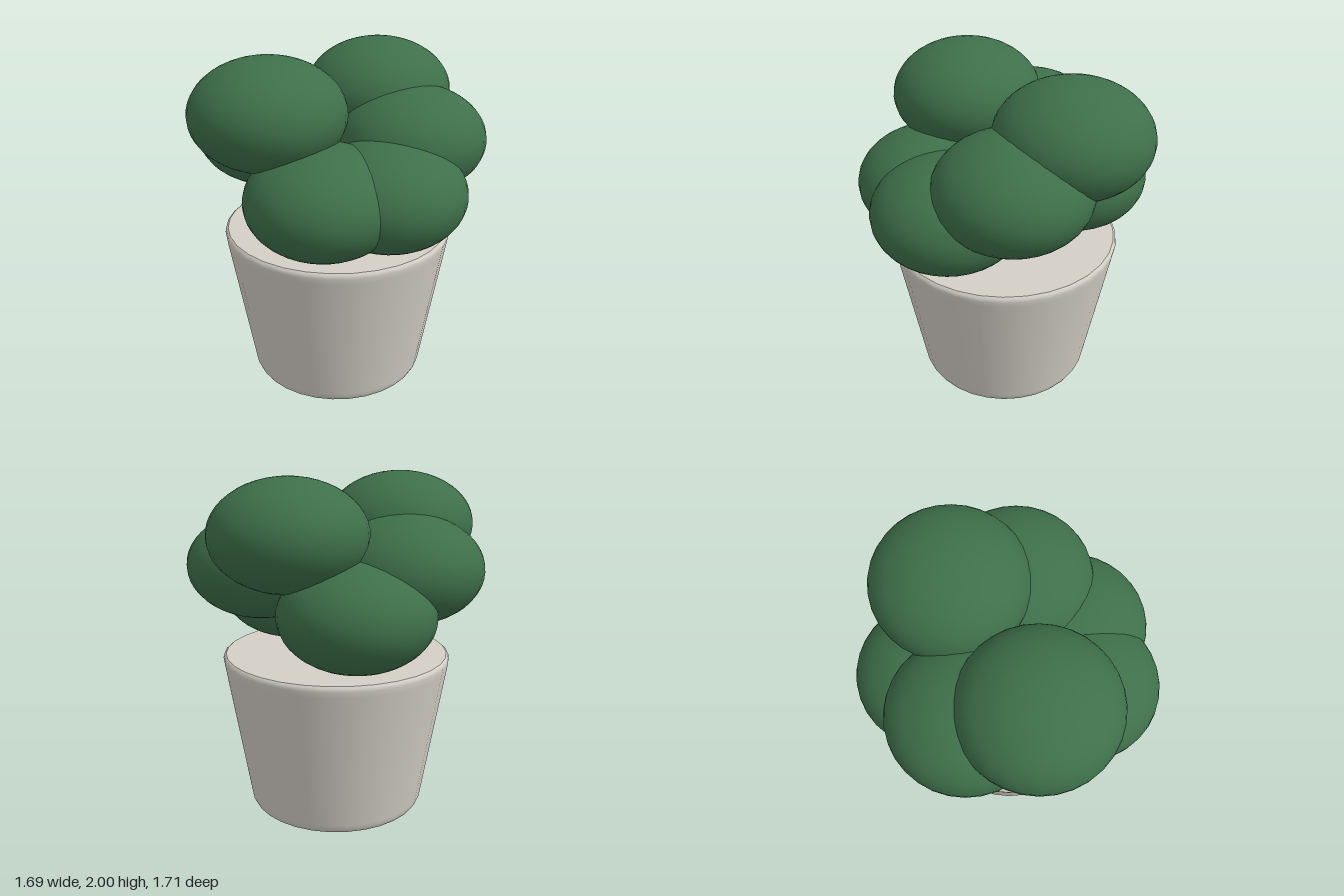
import * as THREE from 'three';

const SIDES = 32;
const CENTER_X = -0.02;

function material(name, color) {
  const m = new THREE.MeshStandardMaterial({ color });
  m.name = name;
  return m;
}

function addMesh(parent, name, geometry, mat) {
  const mesh = new THREE.Mesh(geometry, mat);
  mesh.name = name;
  parent.add(mesh);
  return mesh;
}

export function createModel() {
  const model = new THREE.Group();
  model.name = 'pottedBush';
  const potMat = material('warm grey ceramic', 0xd3cfc6);
  const leafMat = material('leaf green', 0x3e704a);

  // Tapered pot with softly rounded edges, closed at both ends
  const pot = new THREE.Group();
  pot.name = 'pot';
  pot.position.x = CENTER_X;
  model.add(pot);
  const profile = [
    [0.505, 0.005], [0.52, 0.013], [0.531, 0.035], [0.536, 0.06],
    [0.672, 0.89], [0.677, 0.925], [0.673, 0.943], [0.66, 0.953],
  ].map(([r, y]) => new THREE.Vector2(r, y));
  addMesh(pot, 'potWall', new THREE.LatheGeometry(profile, SIDES), potMat);

  const top = addMesh(pot, 'potTop', new THREE.CircleGeometry(0.66, SIDES), potMat);
  top.rotation.x = -Math.PI / 2;
  top.position.y = 0.953;
  const base = addMesh(pot, 'potBase', new THREE.CircleGeometry(0.505, SIDES), potMat);
  base.rotation.x = Math.PI / 2;
  base.position.y = 0.005;

  // Seven flattened foliage clumps in a ring, stepping through three heights
  const foliage = new THREE.Group();
  foliage.name = 'foliage';
  foliage.position.x = CENTER_X;
  model.add(foliage);
  const clump = new THREE.SphereGeometry(0.438, SIDES, 24);
  clump.scale(1, 0.31 / 0.438, 1);
  for (let i = 0; i < 7; i++) {
    const a = (i / 7) * Math.PI * 2;
    const mesh = addMesh(foliage, `foliageClump${i + 1}`, clump, leafMat);
    mesh.position.set(0.428 * Math.cos(a), 1.27 + 0.21 * (i % 3), -0.428 * Math.sin(a));
  }
  return model;
}
